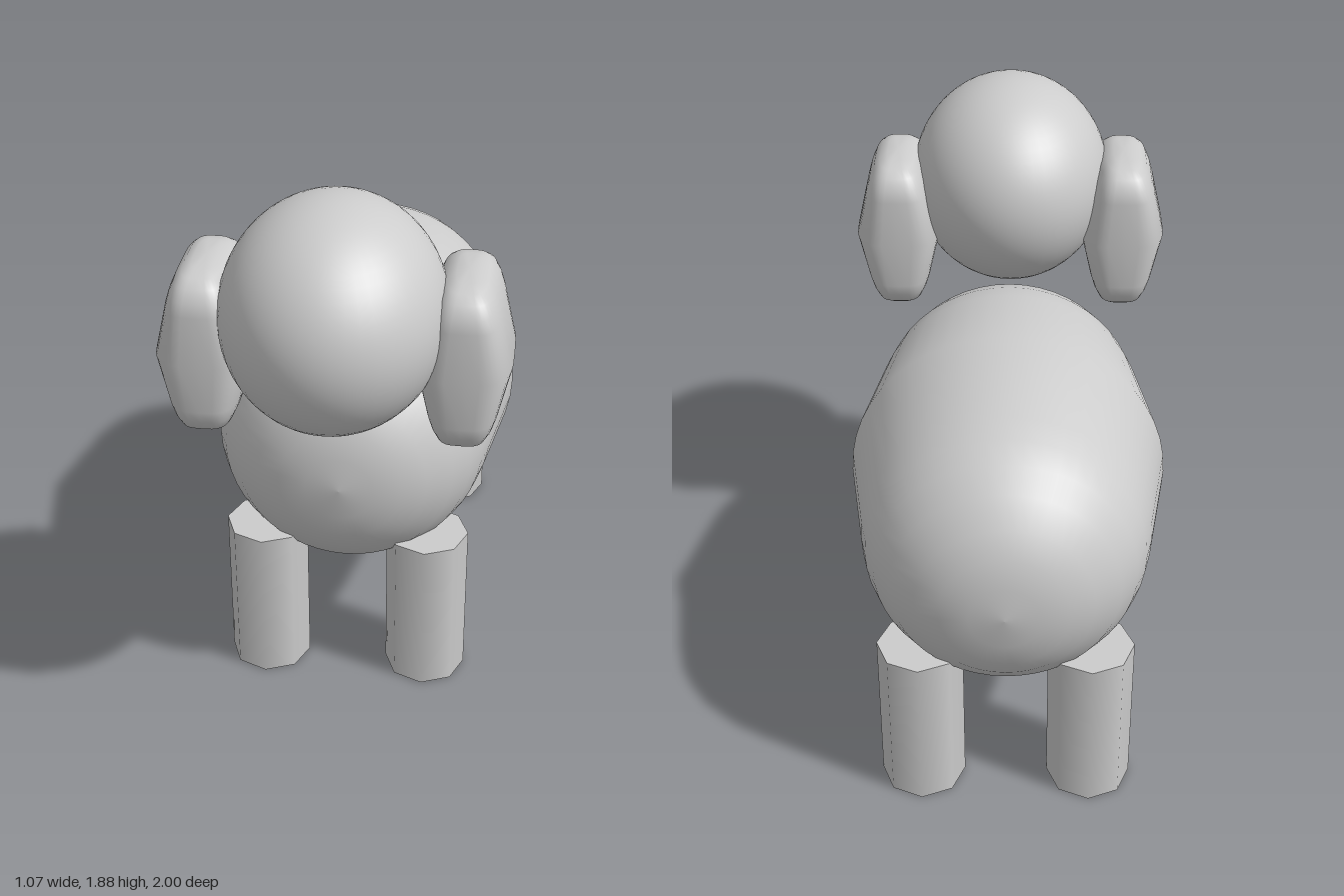
import * as THREE from 'three';
import { mergeVertices } from 'three/addons/utils/BufferGeometryUtils.js';

// Lathe around y from [radius, height] pairs, bottom to top
function lathe(points, segments) {
  return new THREE.LatheGeometry(points.map(([r, y]) => new THREE.Vector2(r, y)), segments);
}

// Mirror an upper half profile [radius, height] (first entry at height 0) to the lower half
function mirrorProfile(upper) {
  const lower = upper.slice(1).reverse().map(([r, y, ...rest]) => [r, -y, ...rest]);
  return [...lower, ...upper];
}

// Barrel body with a ridge around the middle and rounded ends, running along z
function bodyGeometry() {
  const half = [[0.52, 0], [0.46, 0.37], [0.44, 0.46], [0.408, 0.54], [0.355, 0.62],
    [0.275, 0.69], [0.2, 0.733], [0.11, 0.76], [0, 0.77]];
  return lathe(mirrorProfile(half), 48).rotateX(Math.PI / 2);
}

// Flat rounded ear: boxy cross-sections [half x, height, half z], thickest halfway up
function earGeometry() {
  const rings = mirrorProfile([[0.145, 0, 0.22], [0.108, 0.16, 0.211], [0.096, 0.2, 0.2],
    [0.08, 0.236, 0.178], [0.06, 0.257, 0.145], [0.035, 0.268, 0.1], [0, 0.27, 0]]);
  const sides = 40;
  const soft = (v) => Math.sign(v) * Math.pow(Math.abs(v), 0.55);
  const geometry = lathe(rings.map(([, y]) => [1, y]), sides);
  const p = geometry.attributes.position;
  for (let i = 0; i < p.count; i++) {
    const [hx, , hz] = rings[i % rings.length];
    const a = (Math.floor(i / rings.length) % sides) / sides * Math.PI * 2;
    p.setX(i, hx * soft(Math.sin(a)));
    p.setZ(i, hz * soft(Math.cos(a)));
  }
  geometry.deleteAttribute('normal');
  geometry.deleteAttribute('uv');
  const welded = mergeVertices(geometry, 1e-5);
  welded.computeVertexNormals();
  return welded;
}

export function createModel() {
  const model = new THREE.Group();
  model.name = 'animal';
  const grey = new THREE.MeshStandardMaterial({ color: 0xcccccc });
  grey.name = 'light grey';

  function add(name, geometry, x, y, z) {
    const mesh = new THREE.Mesh(geometry, grey);
    mesh.name = name;
    mesh.position.set(x, y, z);
    model.add(mesh);
    return mesh;
  }

  add('body', bodyGeometry(), 0, 0.83, -0.23);

  // Egg-shaped head
  const head = add('head', new THREE.SphereGeometry(1, 48, 32), 0, 1.518, 0.6);
  head.scale.set(0.343, 0.358, 0.4);

  // Ears and octagonal legs, one of each per side
  const ear = earGeometry();
  const leg = new THREE.CylinderGeometry(0.137, 0.137, 0.55, 8);
  for (const [side, sx] of [['left', 1], ['right', -1]]) {
    add(side + 'Ear', ear, sx * 0.39, 1.38, 0.53);
    add(side + 'FrontLeg', leg, sx * 0.272, 0.275, 0.325);
    add(side + 'BackLeg', leg, sx * 0.272, 0.275, -0.78);
  }
  return model;
}
